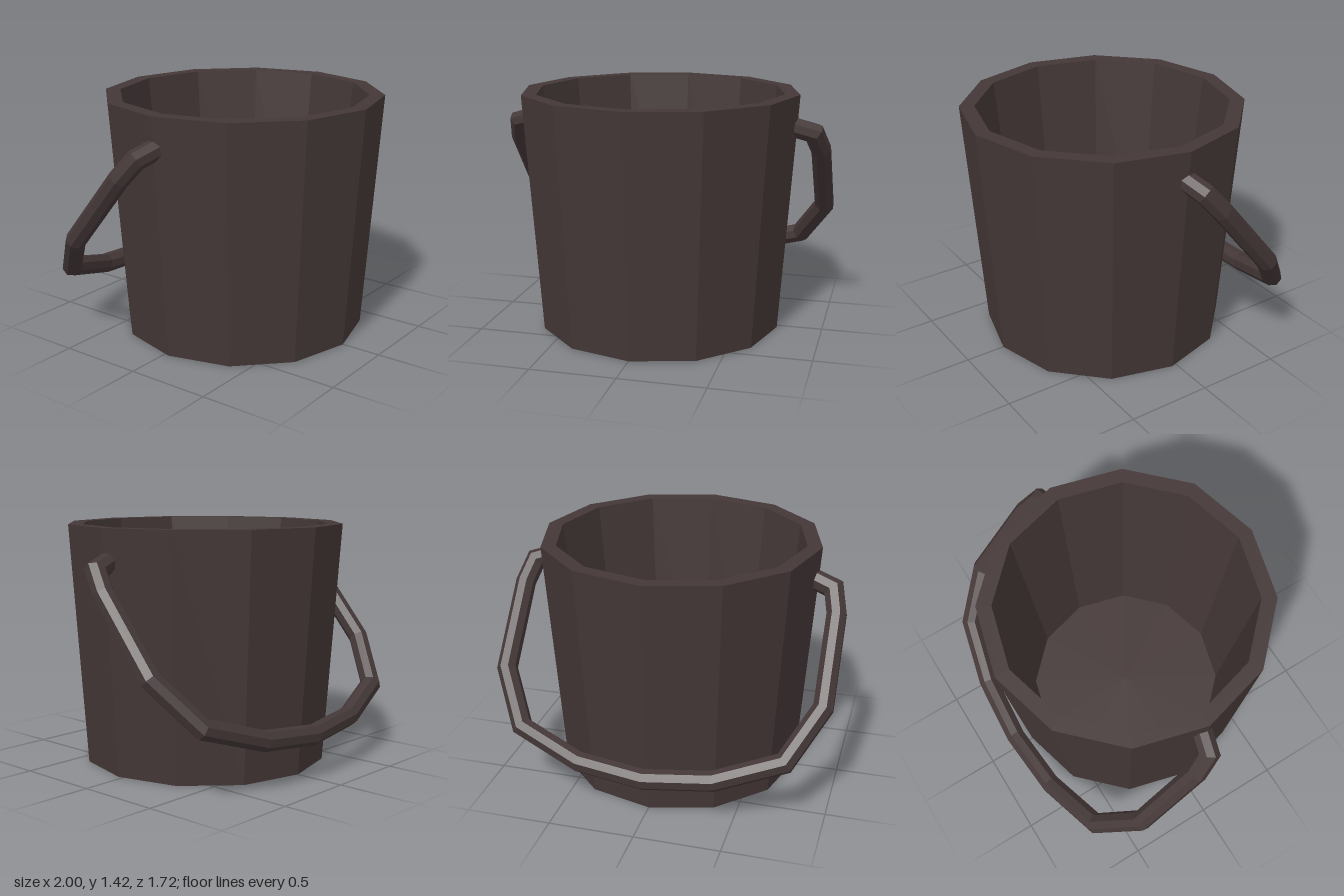
import * as THREE from 'three';

const flat = (geometry) => {
  const g = geometry.index ? geometry.toNonIndexed() : geometry;
  g.computeVertexNormals();
  return g;
};

// Mitred octagonal bar along a path lying in a tilted plane; points are [x, distance down the plane]
function octagonBar(points, origin, down, radius) {
  const across = new THREE.Vector3(1, 0, 0);
  const normal = new THREE.Vector3().crossVectors(across, down);
  const path = points.map(([x, d]) => new THREE.Vector2(x, d));
  const sides = 8;
  const positions = [];
  const index = [];
  path.forEach((p, i) => {
    const a = path[Math.max(i - 1, 0)];
    const b = path[Math.min(i + 1, path.length - 1)];
    const before = (i ? p.clone().sub(a) : b.clone().sub(p)).normalize();
    const after = (b !== p ? b.clone().sub(p) : p.clone().sub(a)).normalize();
    const tangent = before.clone().add(after).normalize();
    const miter = radius / tangent.dot(before);
    for (let k = 0; k < sides; k++) {
      const t = ((k + 0.5) / sides) * Math.PI * 2;
      const c = Math.cos(t) * miter;
      const v = origin.clone()
        .addScaledVector(across, p.x + tangent.y * c)
        .addScaledVector(down, p.y - tangent.x * c)
        .addScaledVector(normal, Math.sin(t) * radius);
      positions.push(v.x, v.y, v.z);
    }
  });
  for (let i = 0; i < path.length - 1; i++) {
    for (let k = 0; k < sides; k++) {
      const a = i * sides + k;
      const b = i * sides + ((k + 1) % sides);
      index.push(a, a + sides, b, b, a + sides, b + sides);
    }
  }
  // End caps
  const last = (path.length - 1) * sides;
  for (let k = 1; k < sides - 1; k++) {
    index.push(0, k, k + 1, last, last + k + 1, last + k);
  }
  const g = new THREE.BufferGeometry();
  g.setAttribute('position', new THREE.Float32BufferAttribute(positions, 3));
  g.setIndex(index);
  return flat(g);
}

export function createModel() {
  const group = new THREE.Group();
  group.name = 'bucket';
  const darkBrown = new THREE.MeshStandardMaterial({ color: 0x443737 });
  darkBrown.name = 'darkBrown';

  // Twelve-sided tapered body with thick wall, inner floor and shallow foot recess
  const profile = [
    [0, 0.035], [0.67, 0.035], [0.73, 0], [0.828, 1.425],
    [0.74, 1.425], [0.6, 0.1], [0, 0.1],
  ].map(([r, y]) => new THREE.Vector2(r, y));
  const body = new THREE.Mesh(flat(new THREE.LatheGeometry(profile, 12)), darkBrown);
  body.name = 'body';
  body.position.z = 0.03;
  group.add(body);

  // Swinging handle, folded down behind the body
  const down = new THREE.Vector3(0, -1.197, -1).normalize();
  const half = [[0.77, 0.025], [0.91, -0.01], [0.945, -0.105], [0.945, -0.455], [0.775, -0.67], [0.395, -0.77]]
    .map(([x, z]) => [x, z / down.z]);
  const mirrored = half.map(([x, d]) => [-x, d]).reverse();
  const points = [...half, [0, -0.8 / down.z], ...mirrored];
  const handle = new THREE.Mesh(octagonBar(points, new THREE.Vector3(0, 1.211, 0), down, 0.06), darkBrown);
  handle.name = 'handle';
  group.add(handle);

  return group;
}
